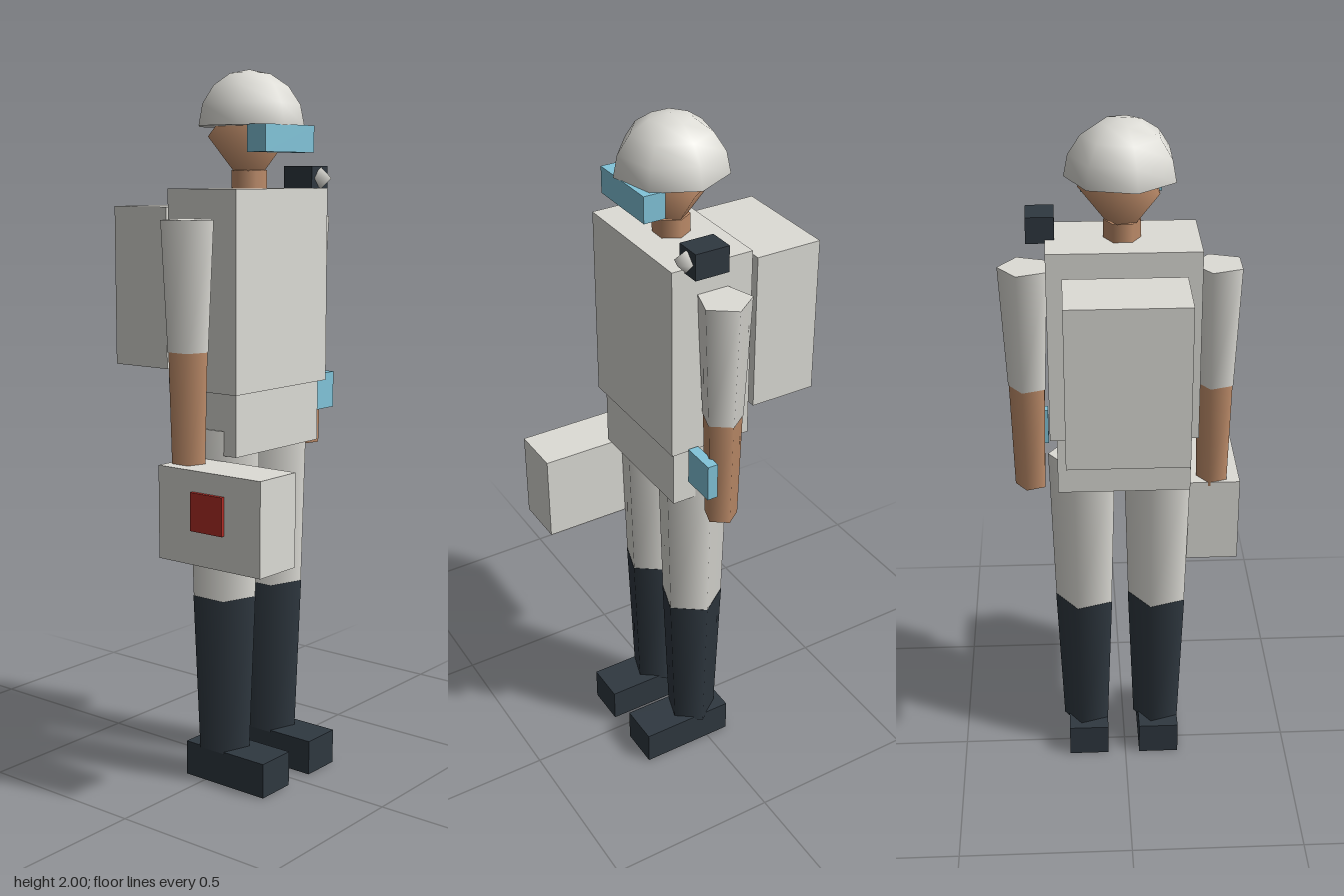
import * as THREE from 'three';

const paint = (name, color) => {
  const m = new THREE.MeshStandardMaterial({ color });
  m.name = name;
  return m;
};

export function createModel() {
  const white = paint('suit white', 0xdddcd6);
  const dark = paint('boot charcoal', 0x2f3840);
  const cyan = paint('visor cyan', 0x82c5da);
  const skin = paint('skin', 0xc08e6b);
  const red = paint('marker red', 0xb22e27);

  const model = new THREE.Group();
  model.name = 'fieldWorker';
  const CX = 0.005, CZ = 0.025; // axis of the body

  const add = (name, geometry, material, x, y, z) => {
    const mesh = new THREE.Mesh(geometry, material);
    mesh.name = name;
    mesh.position.set(x, y, z);
    model.add(mesh);
    return mesh;
  };

  // box given by its limits on each axis
  const box = (name, mat, [x0, x1], [y0, y1], [z0, z1]) =>
    add(name, new THREE.BoxGeometry(x1 - x0, y1 - y0, z1 - z0), mat,
      (x0 + x1) / 2, (y0 + y1) / 2, (z0 + z1) / 2);

  // tapered limb section with one corner towards +x
  const limb = (name, mat, x, [yTop, rTop], [yBottom, rBottom], sides = 5) =>
    add(name, new THREE.CylinderGeometry(rTop, rBottom, yTop - yBottom, sides).rotateY(Math.PI / 2),
      mat, x, (yTop + yBottom) / 2, CZ);

  // head, neck and helmet
  const head = add('head', new THREE.SphereGeometry(0.117, 5, 2).rotateY(Math.PI), skin, CX, 1.82, CZ);
  head.scale.y = 1.28;
  limb('neck', skin, CX, [1.73, 0.05], [1.67, 0.05], 6);
  add('helmet', new THREE.SphereGeometry(0.152, 7, 4, 0, Math.PI * 2, 0, Math.PI / 2).rotateY(Math.PI),
    white, CX, 1.848, CZ);
  add('helmetUnderside', new THREE.CircleGeometry(0.152, 7).rotateX(Math.PI / 2), white, CX, 1.848, CZ);
  box('visor', cyan, [-0.104, 0.113], [1.777, 1.85], [0.105, 0.167]);

  // trunk
  box('torso', white, [-0.201, 0.209], [1.135, 1.68], [-0.093, 0.145]);
  box('pelvis', white, [-0.182, 0.19], [0.962, 1.135], [-0.08, 0.13]);
  box('backpack', white, [-0.158, 0.167], [1.18, 1.63], [-0.333, -0.138]);

  // limbs on both sides
  for (const [side, s] of [['left', 1], ['right', -1]]) {
    const armX = CX + s * 0.26, legX = CX + s * 0.108;
    limb(side + 'Sleeve', white, armX, [1.6, 0.074], [1.25, 0.057]);
    limb(side + 'Forearm', skin, armX, [1.25, 0.055], [0.935, 0.047]);
    limb(side + 'Thigh', white, legX, [1.03, 0.104], [0.547, 0.091]);
    limb(side + 'BootShaft', dark, legX, [0.547, 0.092], [0.09, 0.074]);
    box(side + 'Foot', dark, [legX - 0.06, legX + 0.06], [0, 0.1], [-0.07, 0.21]);
  }

  // shoulder camera with lens
  box('shoulderCamera', dark, [0.184, 0.26], [1.67, 1.742], [0.01, 0.108]);
  add('cameraLens', new THREE.SphereGeometry(0.031, 5, 2).rotateY(Math.PI), white, 0.222, 1.708, 0.1125);

  // wrist display and carried case
  box('wristDisplay', cyan, [0.214, 0.314], [1.04, 1.145], [0.068, 0.098]);
  box('carryCase', white, [-0.331, -0.181], [0.69, 0.947], [-0.018, 0.33]);
  box('caseMarker', red, [-0.342, -0.33], [0.785, 0.89], [0.102, 0.21]);

  return model;
}
